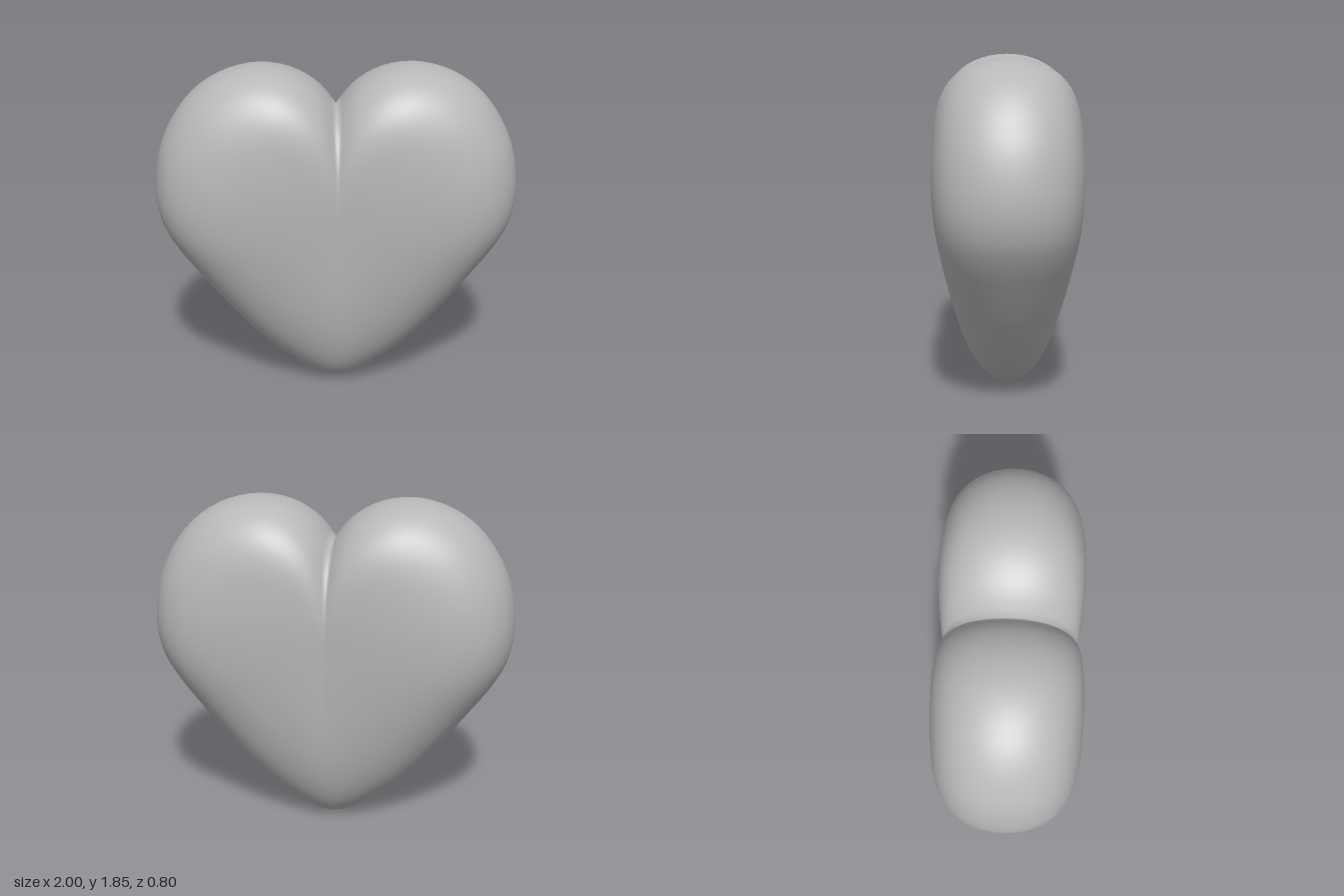
import * as THREE from 'three';
import { mergeVertices } from 'three/addons/utils/BufferGeometryUtils.js';

// Half outline from the bottom tip to the notch: x, y, edge fullness
const OUTLINE = [
  [0, 0, 4.5], [0.05, 0.008, 4.5], [0.1, 0.027, 4.5], [0.2, 0.083, 4.6], [0.4, 0.235, 4.8],
  [0.6, 0.45, 5.1], [0.8, 0.705, 5.6], [0.9, 0.845, 5.9], [0.97, 0.98, 6], [1, 1.15, 6.1],
  [0.97, 1.39, 6], [0.9, 1.555, 5.8], [0.8, 1.69, 5.6], [0.7, 1.77, 5.5], [0.57, 1.83, 5.5],
  [0.42, 1.855, 5.5], [0.26, 1.832, 5.2], [0.12, 1.76, 4.5], [0.04, 1.68, 3.6], [0, 1.625, 3.2],
];
const CENTRE_Y = 1;
const HALF_STEPS = 56;
const RINGS = 56;

// Half thickness before edge rounding: thinner at the tip, dented along the middle
function thickness(x, y) {
  const body = 0.24 + 0.165 * THREE.MathUtils.smoothstep(y, -0.3, 1.3);
  const dent = Math.max(0, 1 - Math.abs(x) / 0.45) ** 2;
  return body * (1 - 0.1 * dent * THREE.MathUtils.smoothstep(y, 0.2, 1.1));
}

function heartGeometry() {
  const curve = new THREE.CatmullRomCurve3(
    OUTLINE.map(([x, y, p]) => new THREE.Vector3(x, y, p / 10)));
  const half = curve.getSpacedPoints(HALF_STEPS);
  half[0].x = half[HALF_STEPS].x = 0;
  const mirrored = half.slice(1, -1).reverse().map((v) => new THREE.Vector3(-v.x, v.y, v.z));
  const loop = [...half, ...mirrored];
  const n = loop.length;

  // Rings grow from the front centre to the outline and shrink to the back centre
  const positions = [];
  const index = [];
  for (let j = 0; j <= RINGS; j++) {
    const angle = (j / RINGS) * Math.PI;
    const r = j === RINGS ? 0 : Math.sin(angle);
    const side = j * 2 === RINGS ? 0 : Math.sign(Math.cos(angle));
    loop.forEach((v, i) => {
      const x = v.x * r;
      const y = CENTRE_Y + (v.y - CENTRE_Y) * r;
      const edge = Math.sqrt(Math.max(0, 1 - r ** (v.z * 10)));
      positions.push(x, y, side * thickness(x, y) * edge);
      if (j === RINGS) return;
      const a = j * n + i;
      const d = j * n + ((i + 1) % n);
      if (j > 0) index.push(a, d + n, d);
      if (j < RINGS - 1) index.push(a, a + n, d + n);
      else index.push(a, a + n, d + n);
    });
  }
  const geometry = new THREE.BufferGeometry();
  geometry.setAttribute('position', new THREE.Float32BufferAttribute(positions, 3));
  geometry.setIndex(index);
  const merged = mergeVertices(geometry, 1e-5);
  merged.computeVertexNormals();
  return merged;
}

export function createModel() {
  const group = new THREE.Group();
  group.name = 'heart';
  const grey = new THREE.MeshStandardMaterial({ color: 0xb8b8b8 });
  grey.name = 'grey';
  const body = new THREE.Mesh(heartGeometry(), grey);
  body.name = 'heartBody';
  group.add(body);
  return group;
}
